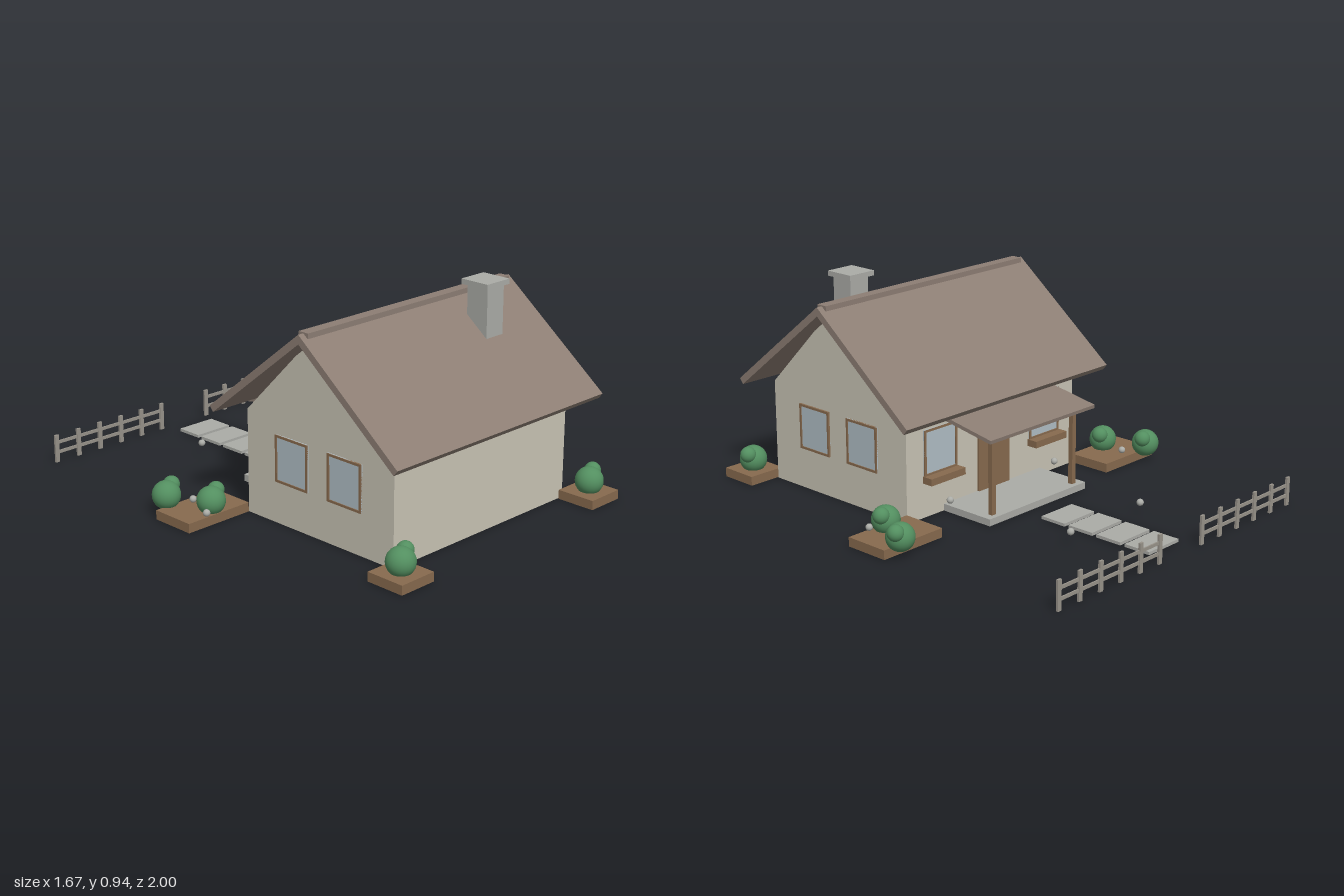
import * as THREE from 'three';

const material = (name, color) => {
  const m = new THREE.MeshStandardMaterial({ color });
  m.name = name;
  return m;
};

export function createModel() {
  const wall = material('plaster', 0xc9c4b5);
  const roof = material('roofTile', 0x8d7e74);
  const wood = material('wood', 0x876a4e);
  const glass = material('glass', 0xb0bec5);
  const stone = material('stone', 0xabaca7);
  const leaf = material('leaf', 0x538f60);
  const fenceWood = material('fenceWood', 0x98938a);

  const model = new THREE.Group();
  model.name = 'cottage';

  const add = (name, geometry, mat, parent = model) => {
    const mesh = new THREE.Mesh(geometry, mat);
    mesh.name = name;
    parent.add(mesh);
    return mesh;
  };
  // Box given by its minimum and maximum on each axis
  const box = (name, mat, [x0, x1], [y0, y1], [z0, z1], parent) => {
    const mesh = add(name, new THREE.BoxGeometry(x1 - x0, y1 - y0, z1 - z0), mat, parent);
    mesh.position.set((x0 + x1) / 2, (y0 + y1) / 2, (z0 + z1) / 2);
    return mesh;
  };
  const ball = (name, mat, r, x, y, z, parent) => {
    const mesh = add(name, new THREE.SphereGeometry(r, 24, 16), mat, parent);
    mesh.position.set(x, y, z);
  };
  // Slab whose top surface runs between two (z, y) points
  const slab = (name, mat, width, thick, [za, ya], [zb, yb]) => {
    const dz = zb - za, dy = yb - ya, len = Math.hypot(dz, dy);
    const s = Math.sign(dz);
    const mesh = add(name, new THREE.BoxGeometry(width, thick, len), mat);
    mesh.rotation.x = -Math.atan2(dy * s, dz * s);
    mesh.position.set(0, (ya + yb) / 2 - (thick / 2) * Math.abs(dz) / len,
      (za + zb) / 2 + (thick / 2) * s * dy / len);
  };

  // Walls and gable prism
  box('walls', wall, [-0.513, 0.513], [0, 0.445], [0.013, 0.82]);
  const tri = new THREE.Shape([[0.013, 0.445], [0.82, 0.445], [0.4165, 0.852]]
    .map(([z, y]) => new THREE.Vector2(z, y)));
  const gable = new THREE.ExtrudeGeometry(tri, { depth: 1.026, bevelEnabled: false });
  gable.rotateY(-Math.PI / 2);
  gable.translate(0.513, 0, 0);
  add('gable', gable, wall);

  // Main roof, ridge cap and porch roof
  slab('roofSlope', roof, 1.23, 0.03, [0.415, 0.863], [0.929, 0.456]);
  slab('roofSlope', roof, 1.23, 0.03, [0.415, 0.863], [-0.099, 0.456]);
  box('ridgeCap', roof, [-0.588, 0.588], [0.845, 0.867], [0.39, 0.44]);
  slab('porchRoof', roof, 0.645, 0.016, [0.013, 0.43], [-0.277, 0.38]);

  // Chimney
  box('chimney', stone, [0.24, 0.34], [0.62, 0.915], [0.512, 0.617]);
  box('chimneyCap', stone, [0.222, 0.358], [0.913, 0.935], [0.493, 0.631]);

  // Window facing +z with a four-sided frame around the pane
  const windowUnit = (x, z, turn, w) => {
    const g = new THREE.Group();
    const h = 0.2, t = 0.01;
    g.name = 'window';
    box('pane', glass, [-w / 2, w / 2], [-h / 2, h / 2], [0, 0.005], g);
    for (const s of [-1, 1]) {
      const sx = s * (w - t) / 2, sy = s * (h - t) / 2;
      box('frameSide', wood, [sx - t / 2, sx + t / 2], [-h / 2, h / 2], [0, 0.009], g);
      box('frameRail', wood, [t - w / 2, w / 2 - t], [sy - t / 2, sy + t / 2], [0, 0.009], g);
    }
    g.position.set(x, 0.28, z);
    g.rotation.y = turn;
    model.add(g);
  };

  for (const s of [-1, 1]) {
    // Side windows, entrance windows and flower boxes
    for (const z of [0.271, 0.563]) windowUnit(s * 0.513, z, s * Math.PI / 2, 0.182);
    windowUnit(s * 0.32, 0.013, Math.PI, 0.19);
    box('windowBox', wood, [s * 0.32 - 0.1, s * 0.32 + 0.1], [0.152, 0.182], [-0.038, 0.013]);

    // Porch posts
    box('porchPost', wood, [s * 0.25 - 0.011, s * 0.25 + 0.011], [0.03, 0.382], [-0.227, -0.205]);

    // Planters
    box('entrancePlanter', wood, [s * 0.675 - 0.16, s * 0.675 + 0.16], [0, 0.04], [-0.19, 0.013]);
    box('cornerPlanter', wood, [s * 0.572 - 0.087, s * 0.572 + 0.087], [0, 0.04], [0.825, 1]);

    // Bushes, each a large and a small ball
    for (const [x, z] of [[0.764, -0.208], [0.676, -0.034], [0.573, 0.913]]) {
      ball('bush', leaf, 0.06, s * x, 0.082, z);
      ball('bushTop', leaf, 0.035, s * x + 0.04, 0.113, z - 0.015);
    }

    // Small round garden lights
    for (const [x, y, z] of [[0.22, 0.055, -0.615], [0.675, 0.055, -0.147],
      [0.733, 0.055, 0.003], [0.325, 0.07, -0.05]]) {
      ball('gardenLight', stone, 0.015, s * x, y, z);
    }

    // Picket fence
    const fence = new THREE.Group();
    fence.name = 'fence';
    for (let i = 0; i < 6; i++) {
      const x = s * (0.135 + i * 0.1185);
      box('picket', fenceWood, [x - 0.01, x + 0.01], [0, 0.125], [-1, -0.99], fence);
    }
    for (const y of [0.045, 0.09]) {
      box('rail', fenceWood, [s * 0.431 - 0.305, s * 0.431 + 0.305], [y - 0.007, y + 0.007],
        [-0.998, -0.992], fence);
    }
    model.add(fence);
  }

  // Door, porch deck and stepping stones
  box('door', wood, [-0.095, 0.095], [0.03, 0.33], [0.004, 0.013]);
  box('porchDeck', stone, [-0.3, 0.3], [0, 0.03], [-0.25, 0.013]);
  for (let i = 0; i < 4; i++) {
    const z = -0.412 - i * 0.146;
    box('steppingStone', stone, [-0.094, 0.094], [0, 0.013], [z - 0.062, z + 0.062]);
  }

  return model;
}
